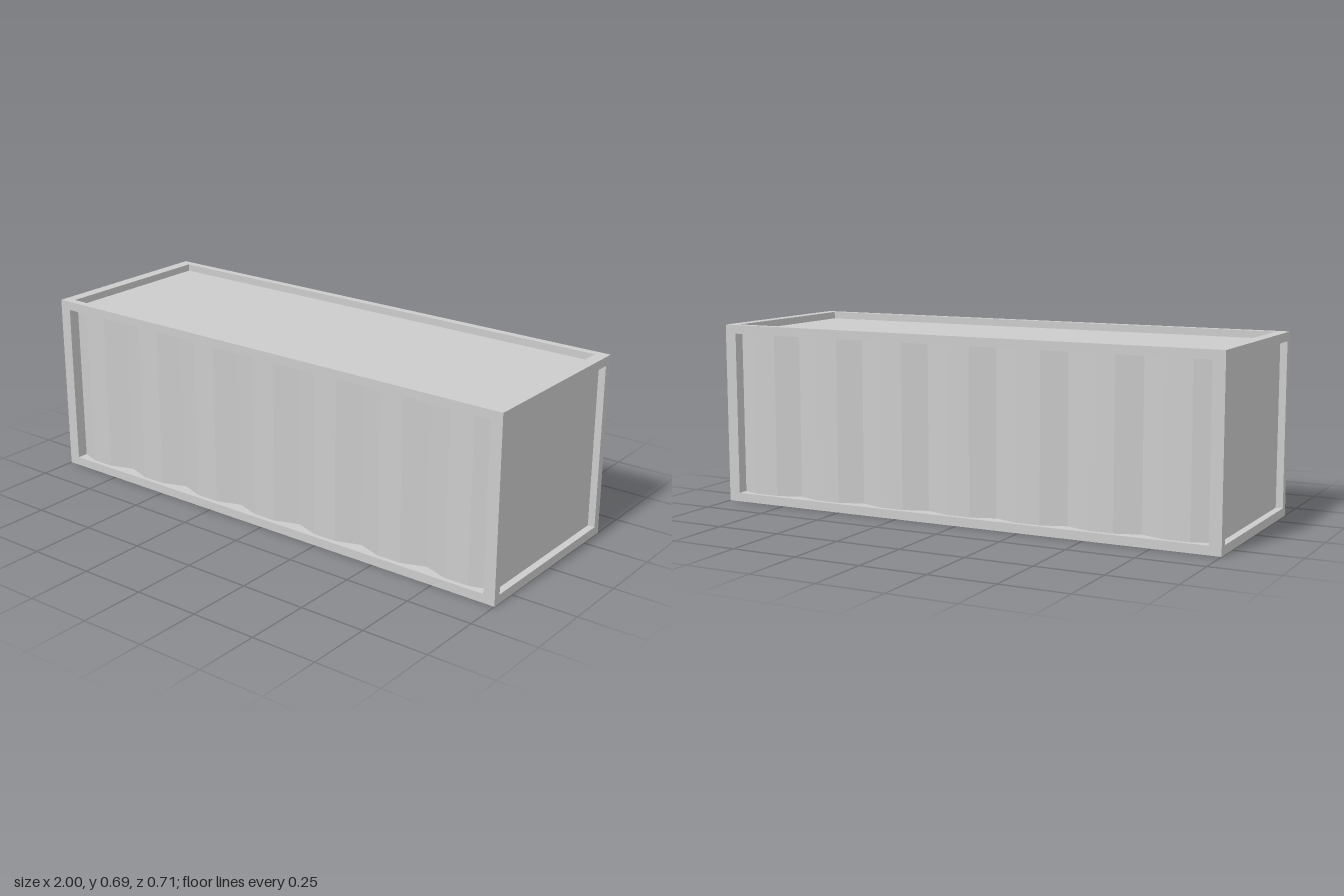
import * as THREE from 'three';

const HX = 1, HY = 0.685, HZ = 0.357;       // half length, height, half depth
const TX = 0.045, TY = 0.033, TZ = 0.03;    // frame bar thicknesses

export function createModel() {
  const model = new THREE.Group();
  model.name = 'cargoContainer';
  const material = new THREE.MeshStandardMaterial({ color: 0xcccccc, flatShading: true });

  const add = (name, geometry) => {
    const mesh = new THREE.Mesh(geometry, material);
    mesh.name = name;
    model.add(mesh);
    return mesh;
  };
  // Box given by its minimum and maximum corners
  const box = (name, x0, x1, y0, y1, z0, z1) =>
    add(name, new THREE.BoxGeometry(x1 - x0, y1 - y0, z1 - z0))
      .position.set((x0 + x1) / 2, (y0 + y1) / 2, (z0 + z1) / 2);

  const ix = HX - TX, iy = HY - TY, iz = HZ - TZ;

  // Flat floor and recessed roof
  box('floor', -HX, HX, 0, TY, -HZ, HZ);
  box('roofPanel', -ix, ix, iy, iy + 0.006, -iz, iz);

  // Frame bars and recessed end panels
  for (const s of [-1, 1]) {
    const zs = s > 0 ? [iz, HZ] : [-HZ, -iz];
    const xs = s > 0 ? [ix, HX] : [-HX, -ix];
    box('longTopRail', -HX, HX, iy, HY, ...zs);
    box('endTopRail', ...xs, iy, HY, -iz, iz);
    box('cornerPost', ...xs, TY, iy, iz, HZ);
    box('cornerPost', ...xs, TY, iy, -HZ, -iz);
    const px = s > 0 ? [ix, ix + 0.018] : [-ix - 0.018, -ix];
    box('endPanel', ...px, TY, iy, -iz, iz);
  }

  // Scalloped side walls: seven ribs, each a three-facet arc
  const ribs = 7, pitch = 0.279, facet = pitch / 3;
  const valley = HZ - 0.05, crest = HZ - 0.018;
  const start = -ribs * pitch / 2;
  const endDepth = valley + (crest - valley) * (-ix - start) / facet;
  const profile = [new THREE.Vector2(-ix, 0.28), new THREE.Vector2(-ix, endDepth)];
  for (let i = 1; i < ribs * 3; i++) {
    profile.push(new THREE.Vector2(start + i * facet, i % 3 === 0 ? valley : crest));
  }
  profile.push(new THREE.Vector2(ix, endDepth), new THREE.Vector2(ix, 0.28));

  const wall = new THREE.ExtrudeGeometry(new THREE.Shape(profile), { depth: iy - TY, bevelEnabled: false });
  wall.rotateX(-Math.PI / 2);
  wall.translate(0, TY, 0);
  add('backCorrugatedWall', wall);
  add('frontCorrugatedWall', wall).rotation.y = Math.PI;

  return model;
}
